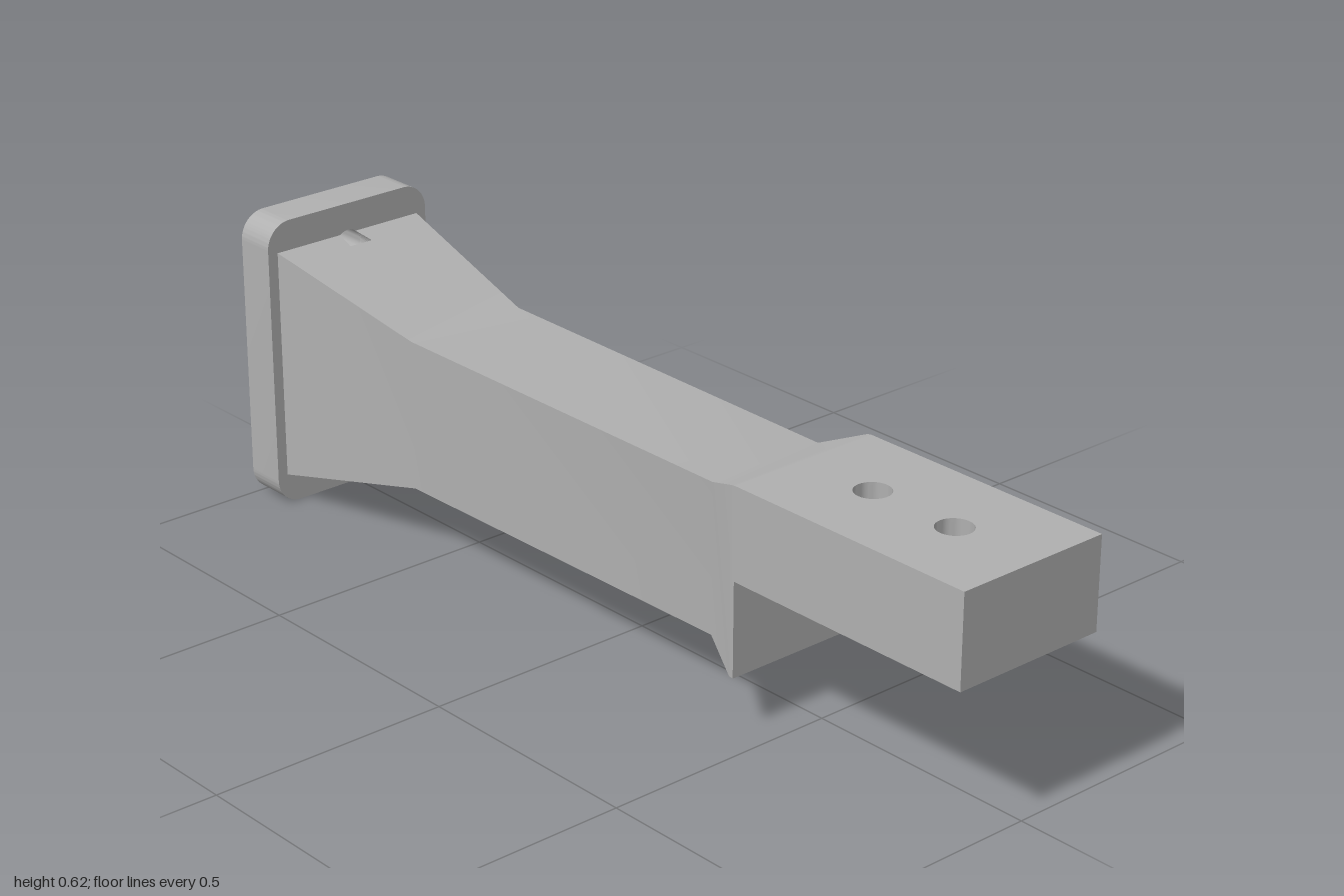
import * as THREE from 'three';
import { toCreasedNormals } from 'three/addons/utils/BufferGeometryUtils.js';

const MID = 0.3085;                 // height of the long axis
const HOLE_Y = 0.2215, HOLE_R = 0.03; // flange bolt holes, measured from the axis
const metal = new THREE.MeshStandardMaterial({ color: 0xb0b0b0 });
metal.name = 'plain grey';

function add(group, name, geometry, x = 0, y = 0) {
  const mesh = new THREE.Mesh(toCreasedNormals(geometry, 0.5), metal);
  mesh.name = name;
  mesh.position.set(x, y, 0);
  group.add(mesh);
}

// Part of the bolt hole circle lying below height hy, as [u, y] points (u = -z)
function holeArc(hy, n = 28) {
  const a = Math.asin((hy - HOLE_Y) / HOLE_R);
  return Array.from({ length: n + 1 }, (_, i) => {
    const t = a - (i / n) * (Math.PI + 2 * a);
    return [HOLE_R * Math.cos(t), HOLE_Y + HOLE_R * Math.sin(t)];
  });
}

// Rectangular cross-section, optionally grooved at top and bottom
function section(hy, hz, grooved) {
  const half = [[hz, hy], ...(grooved ? holeArc(hy) : []), [-hz, hy]];
  return [...half, ...half.map(([u, y]) => [-u, -y])];
}

// Skin between successive [x, halfHeight, halfDepth] stations
function loft(stations, grooved = false) {
  const pos = [];
  const rings = stations.map(([x, hy, hz]) =>
    section(hy, hz, grooved).map(([u, y]) => [x, y, -u]));
  for (let i = 0; i + 1 < rings.length; i++) {
    const A = rings[i], B = rings[i + 1];
    A.forEach((p, j) => {
      const k = (j + 1) % A.length;
      pos.push(...p, ...A[k], ...B[k], ...p, ...B[k], ...B[j]);
    });
  }
  const g = new THREE.BufferGeometry();
  g.setAttribute('position', new THREE.Float32BufferAttribute(pos, 3));
  g.computeVertexNormals();
  return g;
}

function circleHole(x, y, r) {
  const p = new THREE.Path();
  p.absarc(x, y, r, 0, Math.PI * 2, true);
  return p;
}

export function createModel() {
  const group = new THREE.Group();
  group.name = 'mountingArm';

  // Rounded end flange with two bolt holes
  const w = 0.2, h = 0.3085, r = 0.055;
  const plate = new THREE.Shape();
  plate.absarc(w - r, h - r, r, 0, Math.PI / 2);
  plate.absarc(-w + r, h - r, r, Math.PI / 2, Math.PI);
  plate.absarc(-w + r, -h + r, r, Math.PI, Math.PI * 1.5);
  plate.absarc(w - r, -h + r, r, Math.PI * 1.5, Math.PI * 2);
  plate.closePath();
  for (const s of [1, -1]) plate.holes.push(circleHole(0, s * HOLE_Y, HOLE_R));
  add(group, 'flange', new THREE.ExtrudeGeometry(plate,
    { depth: 0.09, bevelEnabled: false, curveSegments: 14 }).rotateY(Math.PI / 2), -1, MID);

  // Root of the arm, where the bolt holes break through the sloping skin
  const root = [-0.91, 0.2445, 0.177], holeEnd = [-0.866, 0.2345, 0.172];
  add(group, 'armRoot', loft([root, holeEnd], true), 0, MID);

  // Blind ends of the bolt holes
  const floor = new THREE.Shape(holeArc(holeEnd[1]).map(([u, y]) => new THREE.Vector2(u, y)));
  for (const turn of [0, Math.PI]) {
    add(group, 'boltHoleEnd',
      new THREE.ShapeGeometry(floor).rotateZ(turn).rotateY(-Math.PI / 2), holeEnd[0], MID);
  }

  // Tapered arm that flares out again at the step
  add(group, 'arm', loft([
    holeEnd,
    [-0.53, 0.158, 0.136],
    [0.34, 0.1535, 0.131],
    [0.43, 0.19, 0.169],
    [0.44, 0.1915, 0.169],
  ]), 0, MID);
  add(group, 'stepFace',
    new THREE.PlaneGeometry(0.338, 0.195).rotateY(Math.PI / 2), 0.44, 0.2145);

  // Flat tongue with two vertical holes
  const tongue = new THREE.Shape();
  tongue.moveTo(0.44, -0.169);
  tongue.lineTo(1, -0.169);
  tongue.lineTo(1, 0.169);
  tongue.lineTo(0.44, 0.169);
  tongue.closePath();
  for (const x of [0.614, 0.814]) tongue.holes.push(circleHole(x, 0, 0.036));
  add(group, 'tongue', new THREE.ExtrudeGeometry(tongue,
    { depth: 0.188, bevelEnabled: false, curveSegments: 16 }).rotateX(-Math.PI / 2), 0, 0.312);

  return group;
}
